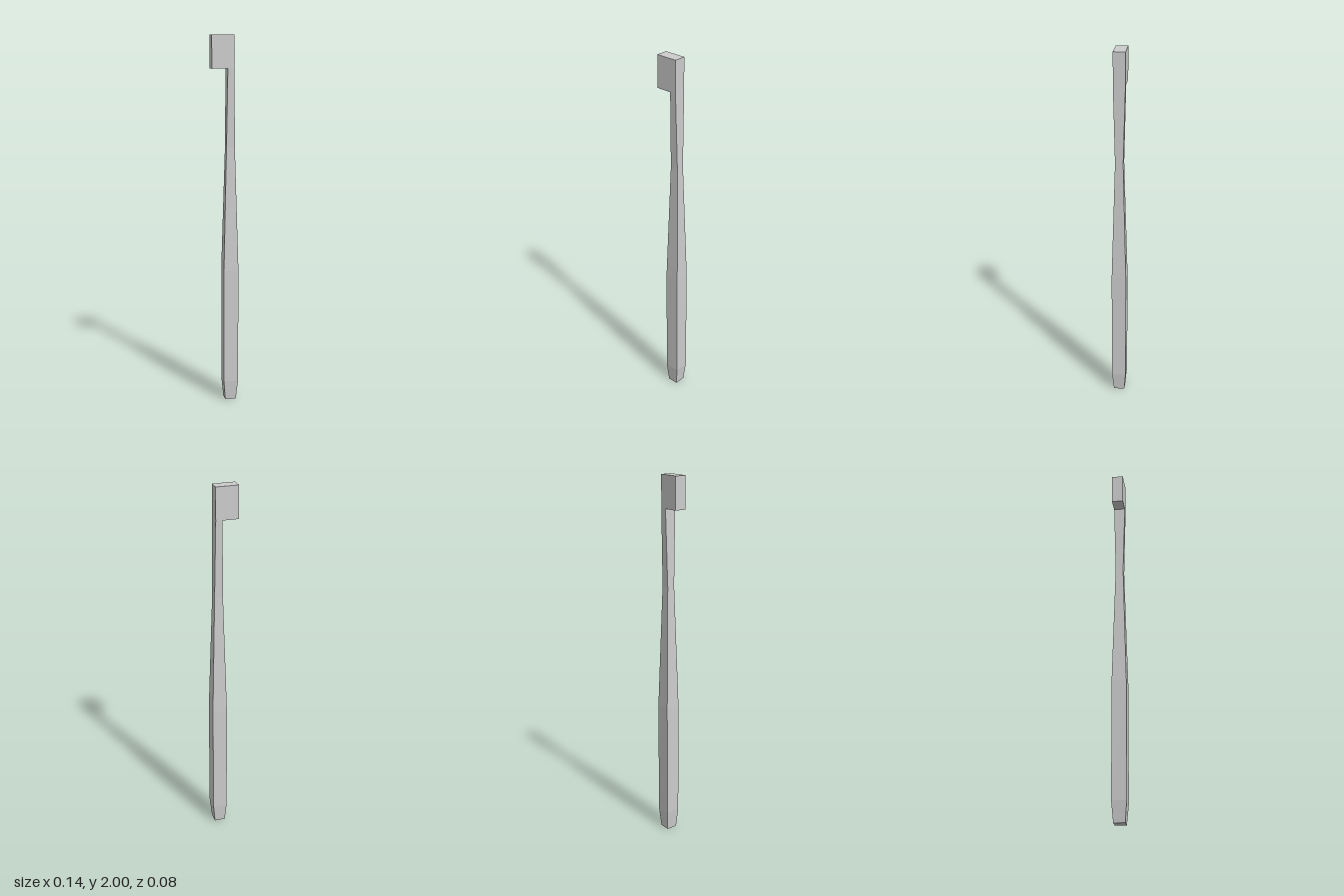
import * as THREE from 'three';

const material = new THREE.MeshStandardMaterial({ color: 0xcccccc, flatShading: true });

// Handle cross-sections from bottom to top: [y, xMin, xMax, half depth]
const SECTIONS = [
  [0, 0, 0.06, 0.03],
  [0.11, -0.009, 0.071, 0.039],
  [0.75, -0.009, 0.071, 0.039],
  [1.42, 0.008, 0.053, 0.021],
  [1.83, 0.013, 0.048, 0.031],
];

// Square-section bar whose rings follow the given cross-sections
function taperedBar(sections) {
  const n = sections.length - 1;
  const geometry = new THREE.BoxGeometry(1, 1, 1, 1, n, 1);
  const p = geometry.attributes.position;
  for (let i = 0; i < p.count; i++) {
    const [y, x0, x1, hz] = sections[Math.round((p.getY(i) + 0.5) * n)];
    p.setXYZ(i, p.getX(i) < 0 ? x0 : x1, y, p.getZ(i) < 0 ? -hz : hz);
  }
  geometry.computeVertexNormals();
  return geometry;
}

export function createModel() {
  const model = new THREE.Group();
  model.name = 'toothbrush';

  // Handle and slim neck
  const handle = new THREE.Mesh(taperedBar(SECTIONS), material);
  handle.name = 'handle';
  model.add(handle);

  // Head with the bristle block overhanging to the right
  const head = new THREE.Mesh(new THREE.BoxGeometry(0.119, 0.17, 0.062), material);
  head.name = 'brushHead';
  head.position.set(-0.0115, 1.915, 0);
  model.add(head);

  return model;
}
